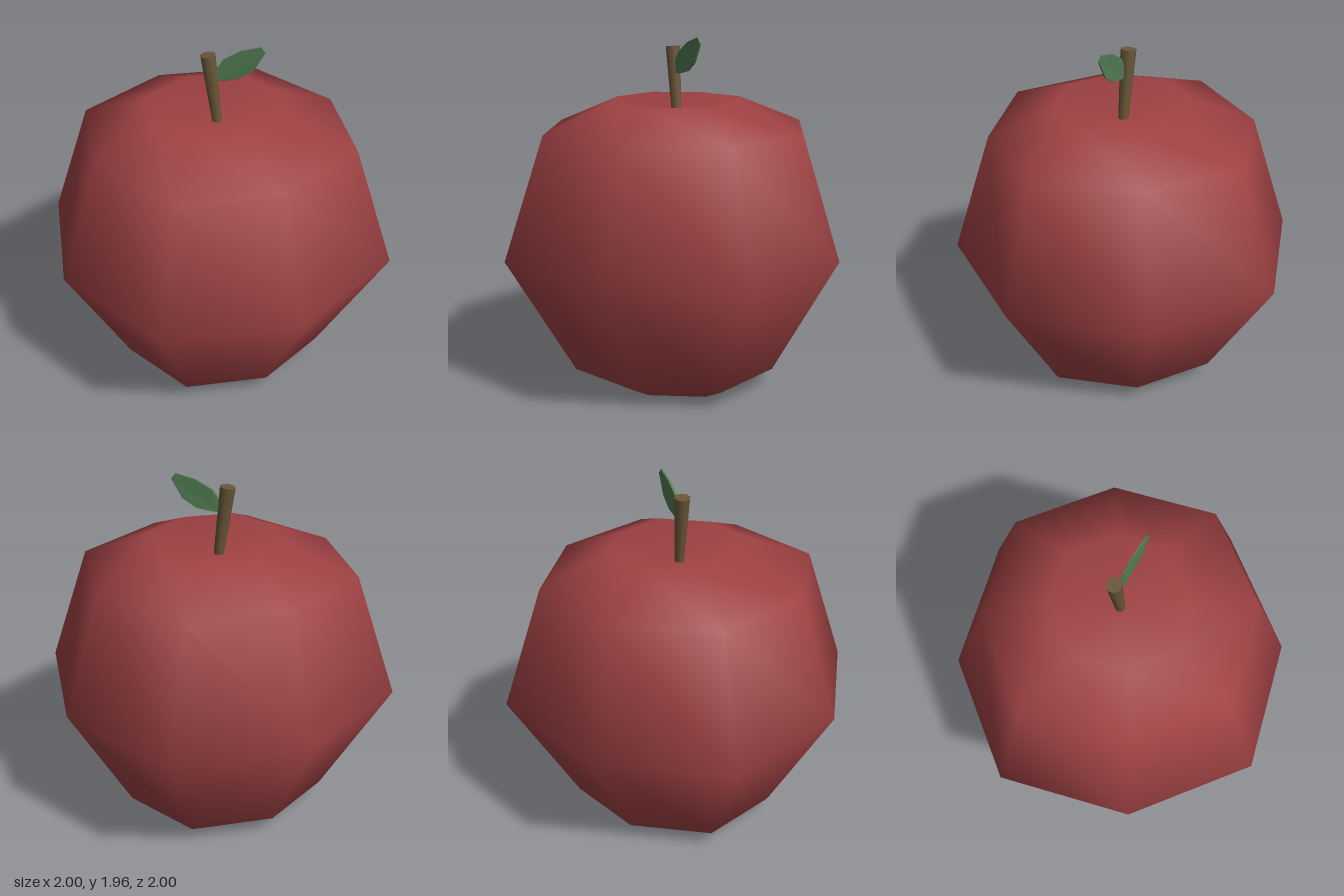
import * as THREE from 'three';
import { mergeVertices } from 'three/addons/utils/BufferGeometryUtils.js';

const v2 = (pts) => pts.map(([x, y]) => new THREE.Vector2(x, y));

// Weld vertices and recompute normals so the shading runs smoothly
function smooth(geometry) {
  geometry.deleteAttribute('uv');
  geometry.deleteAttribute('normal');
  const welded = mergeVertices(geometry, 1e-4);
  welded.computeVertexNormals();
  return welded;
}

function part(name, geometry, color, extra = {}) {
  const mesh = new THREE.Mesh(geometry, new THREE.MeshStandardMaterial({ color, ...extra }));
  mesh.name = name;
  return mesh;
}

// Eight-sided fruit, dimpled at both ends, diagonals pulled in slightly
function makeFruit() {
  const profile = v2([[0, 0.03], [0.42, 0], [0.615, 0.1], [1, 0.77], [0.77, 1.445], [0.385, 1.6], [0, 1.5]]);
  const geometry = new THREE.LatheGeometry(profile, 8);
  const p = geometry.attributes.position;
  for (let i = 0; i < p.count; i++) {
    const x = p.getX(i), z = p.getZ(i);
    if (Math.abs(x * z) > 1e-4) {
      p.setX(i, x * 0.95);
      p.setZ(i, z * 0.95);
    }
  }
  return part('fruit', smooth(geometry), 0xa04244);
}

// Leaning stem, wider at the top
function makeStem() {
  const base = new THREE.Vector3(0.003, 1.46, 0);
  const top = new THREE.Vector3(-0.052, 1.89, 0.003);
  const axis = top.clone().sub(base);
  const stem = part('stem', new THREE.CylinderGeometry(0.043, 0.026, axis.length(), 8), 0x6a5638);
  stem.position.copy(base).lerp(top, 0.5);
  stem.quaternion.setFromUnitVectors(new THREE.Vector3(0, 1, 0), axis.normalize());
  return stem;
}

// Thin leaf, curving backwards towards its tip
function makeLeaf() {
  const outline = v2([[-0.01, 1.745], [0.05, 1.752], [0.115, 1.768], [0.19, 1.82], [0.248, 1.925],
    [0.225, 1.955], [0.12, 1.925], [0.03, 1.87], [0, 1.825]]);
  const geometry = new THREE.ExtrudeGeometry(new THREE.Shape(outline), { depth: 0.014, bevelEnabled: false });
  const p = geometry.attributes.position;
  for (let i = 0; i < p.count; i++) {
    const t = Math.max(0, p.getX(i) / 0.25);
    p.setZ(i, p.getZ(i) * (1 - 0.4 * t) - 0.004 - 0.034 * Math.pow(t, 0.7));
  }
  geometry.computeVertexNormals();
  return part('leaf', geometry, 0x527a52, { side: THREE.DoubleSide });
}

export function createModel() {
  const model = new THREE.Group();
  model.name = 'apple';
  model.add(makeFruit(), makeStem(), makeLeaf());
  return model;
}
